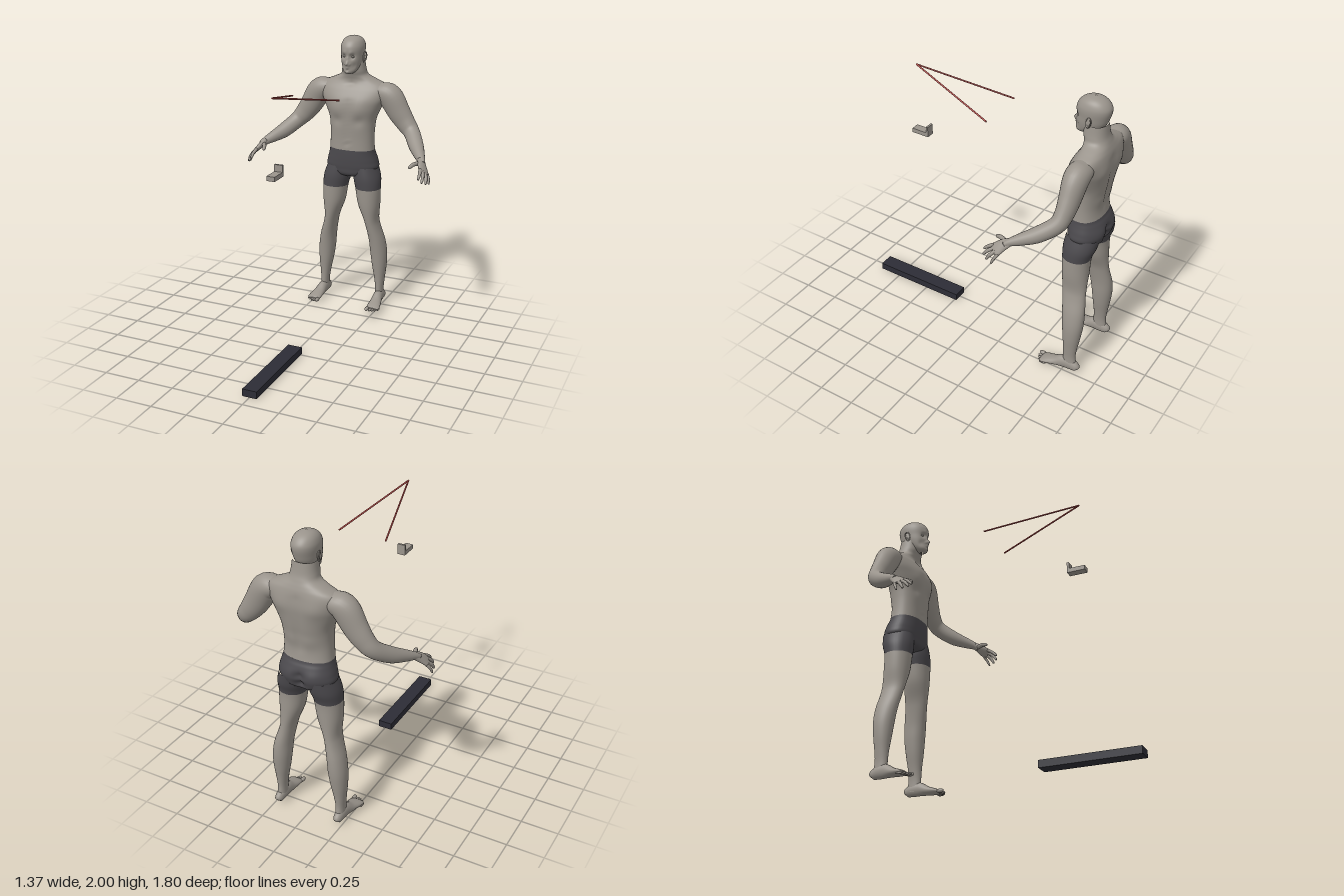
import * as THREE from 'three';

const mat = (name, color) => Object.assign(new THREE.MeshStandardMaterial({ color }), { name });

// Catmull-Rom interpolation of rows of numbers, k steps per span
function smooth(rows, k) {
  const out = [], at = i => rows[Math.max(0, Math.min(rows.length - 1, i))];
  for (let i = 0; i < rows.length - 1; i++) {
    for (let s = 0; s < k; s++) {
      const t = s / k, a = at(i - 1), b = at(i), c = at(i + 1), d = at(i + 2);
      out.push(b.map((p, j) => 0.5 * (2 * p + (c[j] - a[j]) * t
        + (2 * a[j] - 5 * p + 4 * c[j] - d[j]) * t * t
        + (3 * p - a[j] - 3 * c[j] + d[j]) * t * t * t)));
    }
  }
  out.push(rows[rows.length - 1]);
  return out;
}

// Skin a list of equal rings; side = -1 mirrors in x
function skin(rings, side = 1, capped = false) {
  const n = rings[0].length, pos = [], idx = [];
  const tri = (a, b, c) => side > 0 ? idx.push(a, b, c) : idx.push(a, c, b);
  const add = p => pos.push(p.x * side, p.y, p.z);
  rings.forEach(r => r.forEach(add));
  for (let i = 0; i < rings.length - 1; i++) {
    for (let j = 0; j < n; j++) {
      const a = i * n + j, b = i * n + (j + 1) % n;
      tri(a, b, b + n);
      tri(a, b + n, a + n);
    }
  }
  if (capped) {
    const m = rings.length, last = (m - 1) * n;
    [rings[0], rings[m - 1]].forEach(r =>
      add(r.reduce((s, p) => s.add(p), new THREE.Vector3()).divideScalar(n)));
    for (let j = 0; j < n; j++) {
      tri(m * n, (j + 1) % n, j);
      tri(m * n + 1, last + j, last + (j + 1) % n);
    }
  }
  const g = new THREE.BufferGeometry();
  g.setAttribute('position', new THREE.Float32BufferAttribute(pos, 3));
  g.setIndex(idx);
  g.computeVertexNormals();
  return g;
}

// Horizontal sections, rising: [y, centre x, half width, front z, back z]
function body(rows, side = 1, n = 48, power = 2.3) {
  const soft = v => Math.sign(v) * Math.abs(v) ** (2 / power);
  return skin(rows.map(([y, cx, hw, zf, zb]) => Array.from({ length: n }, (_, j) => {
    const a = j / n * Math.PI * 2;
    return new THREE.Vector3(cx + hw * soft(Math.cos(a)), y, (zf + zb) / 2 - (zf - zb) / 2 * soft(Math.sin(a)));
  })), side);
}

// Sections along a path: [x, y, z, radius along 'across', other radius]
function limb(rows, across, side = 1, n = 20, k = 5) {
  const r = smooth(rows, k), P = r.map(q => new THREE.Vector3(q[0], q[1], q[2]));
  return skin(r.map((q, i) => {
    const t = P[Math.min(i + 1, P.length - 1)].clone().sub(P[Math.max(i - 1, 0)]).normalize();
    const u = new THREE.Vector3(...across);
    u.addScaledVector(t, -u.dot(t)).normalize();
    const v = t.clone().cross(u);
    return Array.from({ length: n }, (_, j) => {
      const a = j / n * Math.PI * 2;
      return P[i].clone().addScaledVector(u, q[3] * Math.cos(a)).addScaledVector(v, q[4] * Math.sin(a));
    });
  }), side, true);
}

// Push the surface in z around points, on both sides: [x, y, z, radius, push]
function sculpt(g, bumps) {
  const p = g.attributes.position;
  for (const [x, y, z, r, push] of bumps) {
    for (let i = 0; i < p.count; i++) {
      const d2 = (Math.abs(p.getX(i)) - x) ** 2 + (p.getY(i) - y) ** 2 + (p.getZ(i) - z) ** 2;
      p.setZ(i, p.getZ(i) + push * Math.exp(-d2 / (r * r)));
    }
  }
  g.computeVertexNormals();
  return g;
}

export function createModel() {
  const model = new THREE.Group();
  model.name = 'figureWithProps';
  const skinMat = mat('skin', 0x9a948c), shortsMat = mat('shorts', 0x4b494d);
  const darkMat = mat('darkBar', 0x2d2d36), redMat = mat('redRod', 0xb04a47);
  const add = (name, geo, m) => {
    const mesh = new THREE.Mesh(geo, m);
    mesh.name = name;
    model.add(mesh);
    return mesh;
  };
  const ball = (name, x, y, z, sx, sy, sz) => {
    const b = add(name, new THREE.SphereGeometry(1, 20, 14), skinMat);
    b.position.set(x, y, z);
    b.scale.set(sx, sy, sz);
    return b;
  };

  // Trunk: shorts up to the sixth row, bare torso and neck above
  const trunk = smooth([
    [0.97, 0, 0.01, -0.74, -0.78], [1.0, 0, 0.13, -0.668, -0.87], [1.05, 0, 0.19, -0.655, -0.888],
    [1.1, 0, 0.187, -0.65, -0.892], [1.15, 0, 0.173, -0.648, -0.878], [1.19, 0, 0.165, -0.648, -0.862],
    [1.27, 0, 0.161, -0.648, -0.855], [1.35, 0, 0.163, -0.644, -0.866], [1.42, 0, 0.173, -0.641, -0.88],
    [1.5, 0, 0.207, -0.64, -0.89], [1.56, 0, 0.235, -0.648, -0.894], [1.62, 0, 0.25, -0.677, -0.89],
    [1.66, 0, 0.225, -0.703, -0.882], [1.69, 0, 0.16, -0.712, -0.872], [1.72, 0, 0.1, -0.705, -0.86],
    [1.76, 0, 0.085, -0.692, -0.846], [1.83, 0, 0.076, -0.69, -0.835]], 6);
  add('shortsSeat', sculpt(body(trunk.slice(0, 31)), [
    [0, 1.03, -0.885, 0.028, 0.035], [0, 1.09, -0.89, 0.025, 0.025], [0.085, 1.07, -0.88, 0.06, -0.01]]), shortsMat);
  const grooves = [];
  for (let y = 1.26; y < 1.64; y += 0.03) grooves.push([0, y, -0.875, 0.024, 0.008]);
  for (let y = 1.28; y < 1.56; y += 0.03) grooves.push([0, y, -0.645, 0.016, -0.004]);
  add('torso', sculpt(body(trunk.slice(30)), [...grooves,
    [0.085, 1.49, -0.645, 0.06, 0.01], [0.08, 1.405, -0.65, 0.035, -0.009],
    [0.12, 1.56, -0.885, 0.06, -0.01], [0.06, 1.32, -0.865, 0.05, -0.006],
    [0, 1.235, -0.648, 0.009, -0.01], [0, 1.665, -0.705, 0.02, -0.01]]), skinMat);

  // Head with brow, eye sockets, nose, lips and chin
  add('head', sculpt(body(smooth([
    [1.742, 0, 0.008, -0.66, -0.69], [1.747, 0, 0.03, -0.642, -0.71], [1.762, 0, 0.046, -0.634, -0.74],
    [1.79, 0, 0.062, -0.634, -0.8], [1.83, 0, 0.073, -0.634, -0.83], [1.87, 0, 0.078, -0.636, -0.845],
    [1.91, 0, 0.082, -0.634, -0.855], [1.94, 0, 0.079, -0.641, -0.852], [1.97, 0, 0.066, -0.664, -0.83],
    [1.99, 0, 0.042, -0.7, -0.797], [2.0, 0, 0.004, -0.742, -0.752]], 6), 1, 80, 2.1), [
    [0.031, 1.865, -0.645, 0.018, -0.016], [0.025, 1.89, -0.637, 0.016, 0.005],
    [0, 1.815, -0.632, 0.011, 0.026], [0, 1.832, -0.628, 0.012, 0.012], [0, 1.855, -0.632, 0.012, 0.007],
    [0.014, 1.811, -0.636, 0.008, 0.009], [0.045, 1.8, -0.65, 0.022, -0.008],
    [0, 1.79, -0.634, 0.013, 0.01], [0, 1.773, -0.636, 0.009, -0.005], [0, 1.757, -0.636, 0.014, 0.007]]), skinMat);

  for (const s of [1, -1]) {
    const label = s > 0 ? 'left' : 'right';
    ball(label + 'Eye', s * 0.031, 1.863, -0.661, 0.013, 0.008, 0.012);

    // Ear: lobe plate and outer rim
    ball(label + 'Ear', s * 0.081, 1.85, -0.748, 0.008, 0.036, 0.018).rotation.x = -0.2;
    const rim = add(label + 'EarRim', new THREE.TorusGeometry(0.019, 0.004, 8, 24), skinMat);
    rim.position.set(s * 0.087, 1.858, -0.75);
    rim.rotation.set(-0.2, Math.PI / 2 - s * 0.3, 0, 'XYZ');
    rim.scale.set(0.9, 1.5, 1);

    // Leg: bare up to the hem, shorts above
    const leg = smooth([
      [0.04, 0.22, 0.03, -0.74, -0.846], [0.12, 0.219, 0.029, -0.742, -0.832], [0.2, 0.217, 0.038, -0.74, -0.838],
      [0.3, 0.212, 0.053, -0.73, -0.853], [0.4, 0.205, 0.06, -0.72, -0.864], [0.5, 0.192, 0.056, -0.707, -0.862],
      [0.6, 0.168, 0.049, -0.69, -0.849], [0.67, 0.153, 0.052, -0.678, -0.844], [0.78, 0.136, 0.079, -0.664, -0.843],
      [0.9, 0.126, 0.091, -0.658, -0.846], [0.98, 0.114, 0.098, -0.656, -0.872], [1.06, 0.1, 0.086, -0.665, -0.885]], 5);
    add(label + 'Leg', body(leg.slice(0, 46), s, 32, 2.1), skinMat);
    add(label + 'ShortsLeg', body(leg.slice(45), s, 32, 2.1), shortsMat);

    // Foot and toes
    add(label + 'Foot', limb([
      [0.221, 0.035, -0.857, 0.012, 0.012], [0.221, 0.043, -0.845, 0.026, 0.031], [0.221, 0.056, -0.8, 0.032, 0.045],
      [0.223, 0.058, -0.75, 0.034, 0.047], [0.228, 0.042, -0.69, 0.041, 0.031], [0.234, 0.031, -0.63, 0.048, 0.02],
      [0.236, 0.025, -0.6, 0.046, 0.013], [0.236, 0.023, -0.59, 0.036, 0.008]], [1, 0, 0], s), skinMat);
    for (let i = 0; i < 5; i++) {
      const r = i ? 0.0095 - i * 0.0004 : 0.014;
      ball(label + 'Toe', s * (0.199 + (i ? 0.007 : 0) + i * 0.0175), 0.009 + r, -0.58 - i * i * 0.0022, r, r, 0.026);
    }

    // Arm from inside the shoulder to the wrist
    add(label + 'Arm', limb([
      [0.14, 1.625, -0.79, 0.04, 0.05], [0.2, 1.61, -0.788, 0.066, 0.074], [0.268, 1.58, -0.785, 0.088, 0.078],
      [0.335, 1.475, -0.785, 0.082, 0.066], [0.39, 1.4, -0.782, 0.07, 0.057], [0.442, 1.343, -0.762, 0.058, 0.053],
      [0.505, 1.28, -0.675, 0.053, 0.05], [0.555, 1.245, -0.595, 0.04, 0.038], [0.592, 1.221, -0.535, 0.028, 0.025],
      [0.606, 1.203, -0.51, 0.026, 0.02]], [0.75, 0.66, 0], s, 28), skinMat);

    // Hand
    const across = [0.04, -0.035, -0.06];
    add(label + 'Palm', limb([
      [0.59, 1.225, -0.538, 0.025, 0.021], [0.614, 1.192, -0.492, 0.038, 0.019],
      [0.636, 1.165, -0.463, 0.042, 0.014], [0.644, 1.156, -0.452, 0.034, 0.008]], across, s), skinMat);
    const fingers = [
      [[0.617, 1.182, -0.443], [0.626, 1.16, -0.406], [0.626, 1.13, -0.375]],
      [[0.63, 1.171, -0.453], [0.646, 1.143, -0.415], [0.648, 1.106, -0.384]],
      [[0.642, 1.16, -0.468], [0.662, 1.13, -0.438], [0.667, 1.092, -0.415]],
      [[0.652, 1.149, -0.488], [0.67, 1.118, -0.47], [0.677, 1.083, -0.455]],
      [[0.592, 1.208, -0.508], [0.563, 1.207, -0.46], [0.546, 1.192, -0.415]]];
    fingers.forEach(([a, b, c], i) => {
      const w = i === 3 ? 0.009 : i === 4 ? 0.014 : 0.011;
      const nearTip = c.map((v, j) => v + (b[j] - v) * 0.15);
      add(label + (i === 4 ? 'Thumb' : 'Finger'), limb([
        [...a, w * 1.1, w * 1.1], [...b, w, w], [...nearTip, w * 0.75, w * 0.75], [...c, w * 0.3, w * 0.3]],
      across, s, 12, 4), skinMat);
    });

    // Slanted rod meeting its twin at the front
    const from = new THREE.Vector3(0, 1.825, 0.54), to = new THREE.Vector3(s * 0.166, 1.69, -0.097);
    const dir = to.clone().sub(from);
    const rod = add(label + 'Rod', new THREE.CylinderGeometry(0.0055, 0.0055, dir.length(), 12), redMat);
    rod.position.copy(from).addScaledVector(dir, 0.5);
    rod.quaternion.setFromUnitVectors(new THREE.Vector3(0, 1, 0), dir.normalize());
  }

  // Floor bar and floating L bracket
  const box = (name, w, h, d, x, y, z, m) => add(name, new THREE.BoxGeometry(w, h, d), m).position.set(x, y, z);
  box('floorBar', 0.1, 0.05, 0.67, 0, 0.025, 0.57, darkMat);
  box('bracketBase', 0.056, 0.03, 0.125, 0, 1.33, 0.5125, skinMat);
  box('bracketUpright', 0.056, 0.045, 0.015, 0, 1.3675, 0.4575, skinMat);
  return model;
}
